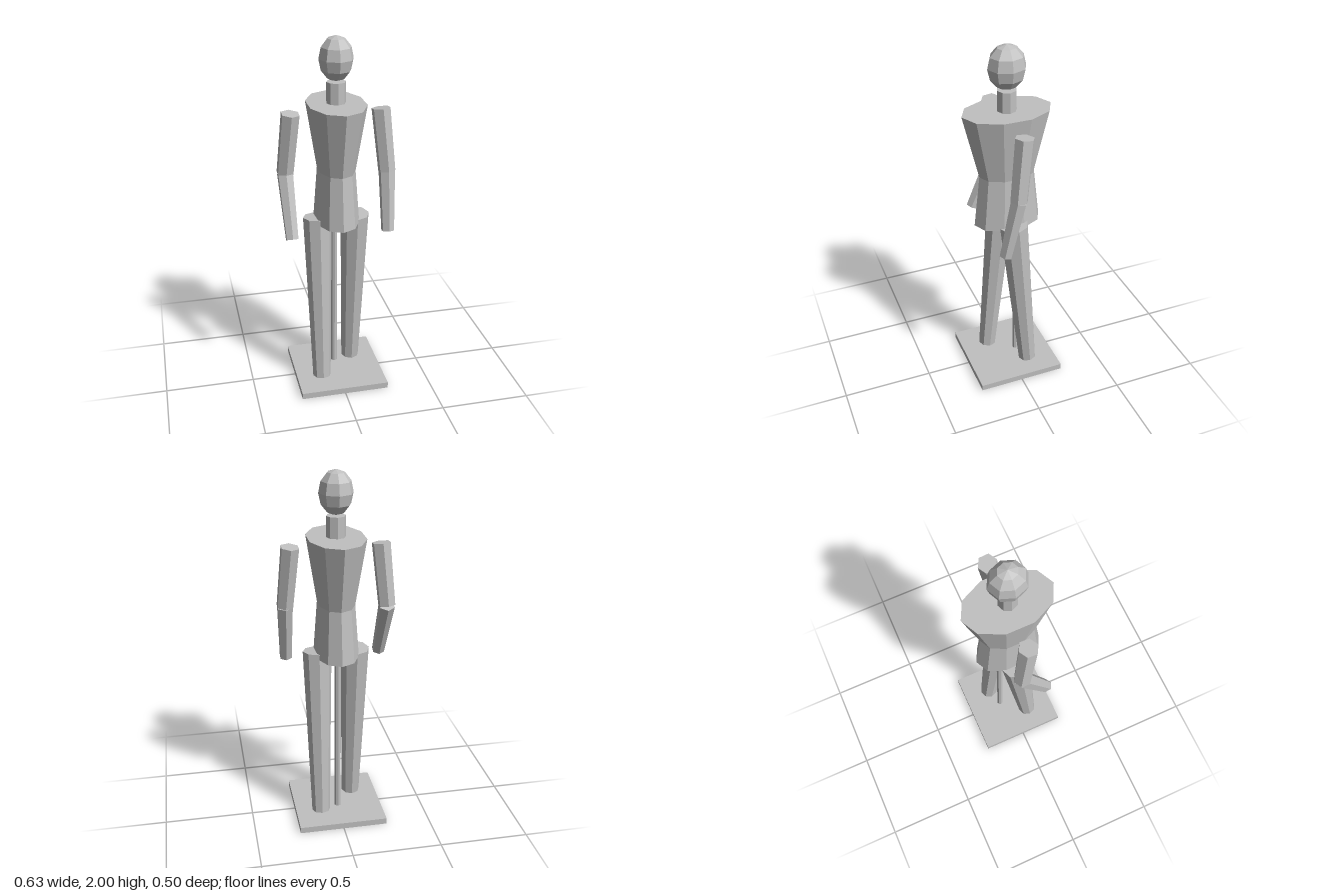
import * as THREE from 'three';

export function createModel() {
  const model = new THREE.Group();
  model.name = 'mannequin';
  const grey = new THREE.MeshStandardMaterial({ color: 0xc0c0c0 });
  grey.name = 'plain grey';

  function add(name, geometry, x = 0, y = 0, z = 0) {
    // Split vertices so every face is flat
    const flat = geometry.index ? geometry.toNonIndexed() : geometry;
    flat.computeVertexNormals();
    const mesh = new THREE.Mesh(flat, grey);
    mesh.name = name;
    mesh.position.set(x, y, z);
    model.add(mesh);
    return mesh;
  }

  // Tapered prism running from point a (top) to point b (bottom)
  function limb(name, a, b, rTop, rBottom, sides) {
    const top = new THREE.Vector3(...a);
    const bottom = new THREE.Vector3(...b);
    const dir = top.clone().sub(bottom);
    const mesh = add(name, new THREE.CylinderGeometry(rTop, rBottom, dir.length(), sides));
    mesh.position.copy(top).add(bottom).multiplyScalar(0.5);
    mesh.quaternion.setFromUnitVectors(new THREE.Vector3(0, 1, 0), dir.normalize());
  }

  // Stand
  add('base', new THREE.BoxGeometry(0.5, 0.035, 0.5), 0, 0.0175, 0);
  limb('supportPole', [0, 1.0, -0.05], [0, 0.03, -0.055], 0.018, 0.018, 8);

  // Torso: ten-sided, narrow in x, pinched at the waist
  const profile = [[0, 0.99], [0.188, 0.99], [0.155, 1.285], [0.243, 1.65], [0, 1.65]];
  const torso = new THREE.LatheGeometry(profile.map(([r, y]) => new THREE.Vector2(r, y)), 10);
  torso.scale(0.65, 1, 1);
  add('torso', torso);

  // Neck and head
  add('neck', new THREE.CylinderGeometry(0.052, 0.052, 0.125, 8), 0, 1.7, 0);
  const head = new THREE.SphereGeometry(1, 8, 6);
  head.scale(0.092, 0.118, 0.103);
  add('head', head, 0, 1.882, 0);

  // Legs in mid-stride and bent arms
  for (const [side, s] of [['left', 1], ['right', -1]]) {
    limb(side + 'Leg', [s * 0.105, 1.013, 0], [s * 0.105, 0.04, s * -0.09], 0.08, 0.052, 8);
    const elbow = [s * 0.271, 1.268, s * 0.04];
    limb(side + 'UpperArm', [s * 0.242, 1.607, 0], elbow, 0.052, 0.048, 6);
    limb(side + 'Forearm', elbow, [s * 0.265, 0.942, 0.109], 0.046, 0.036, 6);
  }
  return model;
}
